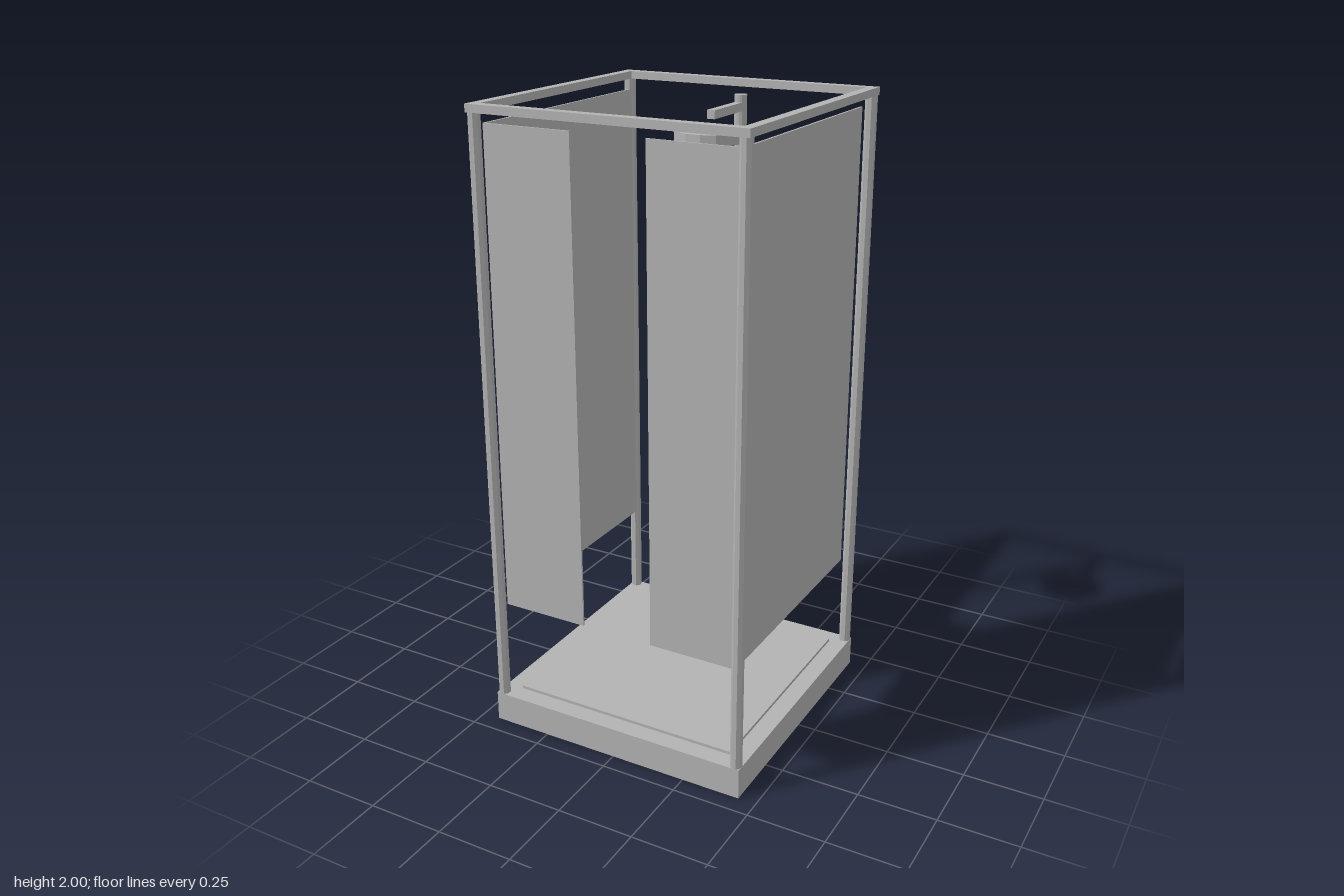
import * as THREE from 'three';

export function createModel() {
  const group = new THREE.Group();
  group.name = 'showerCabin';
  const grey = new THREE.MeshStandardMaterial({ color: 0xb3b3b3 });
  grey.name = 'grey';

  function add(name, geometry, x, y, z) {
    const mesh = new THREE.Mesh(geometry, grey);
    mesh.name = name;
    mesh.position.set(x, y, z);
    group.add(mesh);
    return mesh;
  }
  // box given by its centre in x and z and its vertical range
  const box = (name, w, d, y0, y1, x, z) =>
    add(name, new THREE.BoxGeometry(w, y1 - y0, d), x, (y0 + y1) / 2, z);
  // upright faceted cylinder; turn rotates its corners
  const prism = (name, r, sides, turn, y0, y1, x, z) => {
    const g = new THREE.CylinderGeometry(r, r, y1 - y0, sides).rotateY(turn).toNonIndexed();
    g.computeVertexNormals();
    return add(name, g, x, (y0 + y1) / 2, z);
  };

  // shower tray
  box('trayBase', 0.884, 0.884, 0, 0.1, 0, 0);
  box('trayFloor', 0.766, 0.766, 0.1, 0.11, 0, 0);

  for (const s of [-1, 1]) {
    // corner posts
    for (const t of [-1, 1])
      prism('cornerPost', 0.0175 / Math.cos(Math.PI / 8), 8, Math.PI / 8, 0.1, 1.998, s * 0.424, t * 0.424);
    // top frame
    box('topRailSide', 0.032, 0.884, 1.976, 2, s * 0.426, 0);
    box('topRailCross', 0.82, 0.032, 1.976, 2, 0, s * 0.426);
    // glass panels
    box('sidePanel', 0.007, 0.79, 0.42, 1.945, s * 0.405, 0.003);
    box('frontPanel', 0.288, 0.006, 0.42, 1.945, s * 0.264, 0.405);
  }

  // riser pipe, valve, arm and rain head
  prism('riserPipe', 0.02, 14, Math.PI / 2, 0.1, 1.955, 0, -0.392);
  prism('valve', 0.038, 14, Math.PI / 2, 1.09, 1.115, 0, -0.375);
  box('showerArm', 0.026, 0.205, 1.905, 1.932, 0, -0.2925);
  prism('showerHead', 0.108, 14, Math.PI / 2, 1.84, 1.875, 0, -0.18);
  return group;
}
